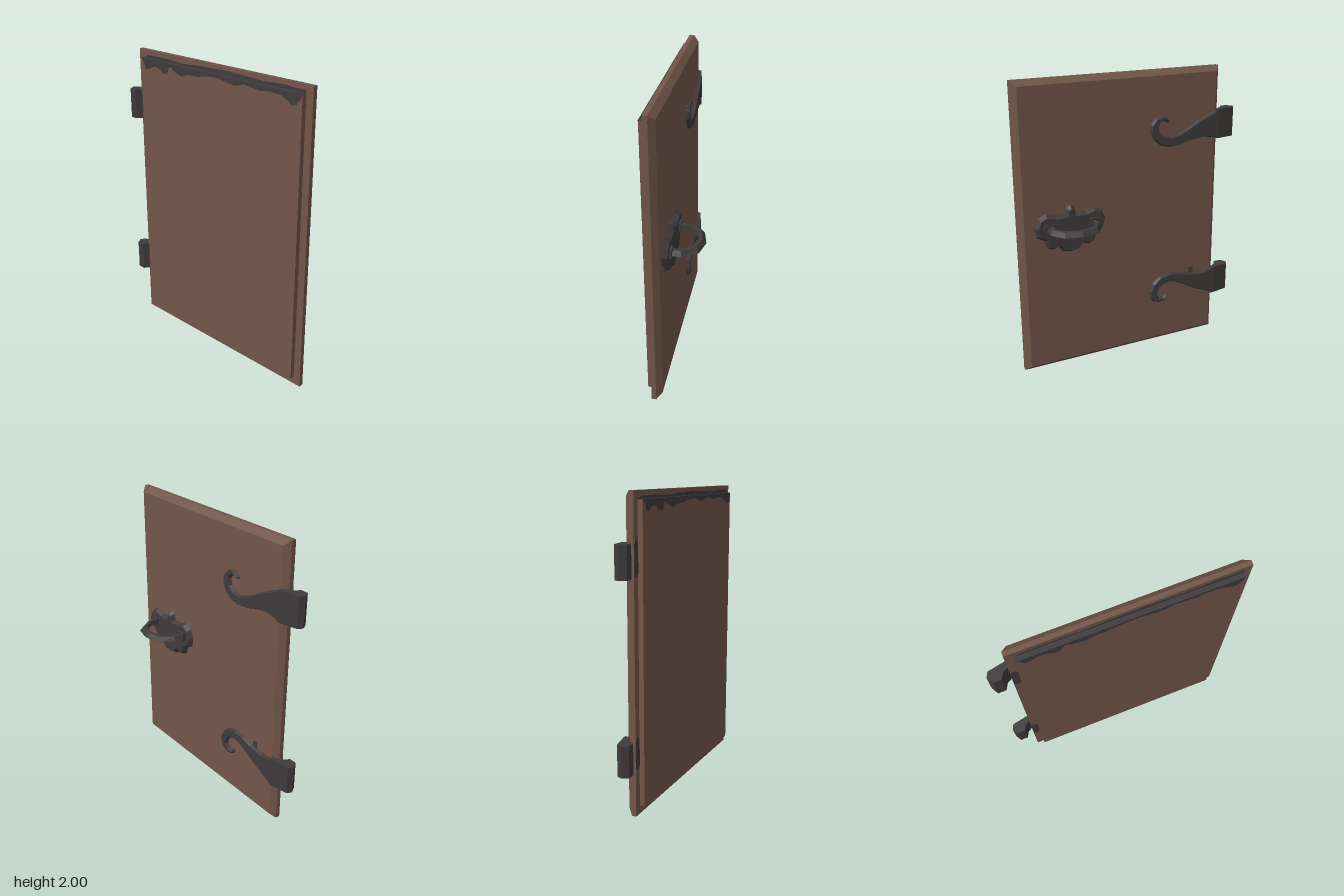
import * as THREE from 'three';

const wood = new THREE.MeshStandardMaterial({ color: 0x72564a });
wood.name = 'brown wood';
const iron = new THREE.MeshStandardMaterial({ color: 0x403b3c });
iron.name = 'dark iron';

function add(parent, name, geometry, material, x = 0, y = 0, z = 0) {
  const mesh = new THREE.Mesh(geometry, material);
  mesh.name = name;
  mesh.position.set(x, y, z);
  parent.add(mesh);
  return mesh;
}

const outline = (pts) => new THREE.Shape(pts.map(([x, y]) => new THREE.Vector2(x, y)));

const box = (x0, x1, y0, y1, z0, z1) =>
  new THREE.BoxGeometry(x1 - x0, y1 - y0, z1 - z0)
    .translate((x0 + x1) / 2, (y0 + y1) / 2, (z0 + z1) / 2);

// Flat casting with a chamfered rim; its outer face lies at z = back
function casting(shape, back, chamfer, thick) {
  return new THREE.ExtrudeGeometry(shape, {
    depth: 0.01, bevelEnabled: true, bevelSegments: 1, steps: 1,
    bevelThickness: thick, bevelSize: chamfer, bevelOffset: -chamfer, curveSegments: 4,
  }).translate(0, 0, back + thick);
}

const plate = (pts, z) =>
  new THREE.ExtrudeGeometry(outline(pts), { depth: 0.003, bevelEnabled: false }).translate(0, 0, z);

// Slab section whose back edges are drawn in by a bevel
function bevelledBack() {
  const g = box(-0.68, 0.81, 0, 2, 0.063, 0.1).toNonIndexed();
  const p = g.attributes.position;
  for (let i = 0; i < p.count; i++) {
    if (p.getZ(i) > 0.08) continue;
    p.setX(i, p.getX(i) > 0 ? 0.775 : -0.645);
    p.setY(i, p.getY(i) > 1 ? 1.965 : 0.035);
  }
  g.computeVertexNormals();
  return g;
}

// Curled strap and knuckle, drawn about y = 0; flip = -1 mirrors it upside down
function hinge(flip) {
  const g = new THREE.Group();
  const strap = [
    [-0.655, -0.1], [-0.56, -0.085], [-0.45, -0.097], [-0.37, -0.12], [-0.29, -0.128],
    [-0.215, -0.11], [-0.16, -0.065], [-0.135, -0.01], [-0.14, 0.04], [-0.17, 0.078],
    [-0.215, 0.093], [-0.255, 0.085], [-0.28, 0.058], [-0.272, 0.042], [-0.245, 0.056],
    [-0.215, 0.052], [-0.197, 0.025], [-0.207, -0.015], [-0.24, -0.045], [-0.29, -0.056],
    [-0.35, -0.042], [-0.42, -0.01], [-0.5, 0.035], [-0.58, 0.07], [-0.655, 0.1],
  ].map(([x, y]) => [x, y * flip]);
  add(g, 'hingeStrap', casting(outline(strap), 0.04, 0.01, 0.022), iron);

  const profile = [
    [-0.813, 0.1], [-0.787, 0.143], [-0.735, 0.143], [-0.713, 0.104],
    [-0.648, 0.066], [-0.648, 0.041], [-0.668, 0.041], [-0.796, 0.066],
  ];
  const knuckle = new THREE.ExtrudeGeometry(outline(profile), { depth: 0.205, bevelEnabled: false })
    .rotateX(Math.PI / 2).translate(0, 0.1025, 0);
  add(g, 'hingeKnuckle', knuckle, iron);

  // Iron stain on the front frame beside the knuckle
  add(g, 'hingeStain', plate([
    [-0.68, -0.09], [-0.645, -0.1], [-0.632, -0.08], [-0.632, 0.09],
    [-0.645, 0.11], [-0.665, 0.13], [-0.68, 0.1],
  ], 0.13), iron);
  return g;
}

// Faceted half-ring pull swept through a bevelled section
function pullGeometry() {
  // each row: outer x, z; ridge x, z; inner x, z (x measured from the centre)
  const half = [
    [0.182, 0.03, 0.164, 0.03, 0.14, 0.03],
    [0.182, -0.043, 0.164, -0.04, 0.14, -0.036],
    [0.12, -0.143, 0.108, -0.123, 0.088, -0.1],
  ];
  const rows = [
    ...half, [0, -0.17, 0, -0.147, 0, -0.122],
    ...half.slice().reverse().map((r) => r.map((v, i) => (i % 2 ? v : -v))),
  ];
  const rings = rows.map(([ox, oz, mx, mz, ix, iz]) => [
    [ox, 1.022, oz], [mx, 1.054, mz], [ix, 1.054, iz], [ix, 1.022, iz],
  ]);
  const pos = [];
  const quad = (a, b, c, d) => pos.push(...a, ...b, ...c, ...a, ...c, ...d);
  for (let i = 0; i < rings.length - 1; i++) {
    for (let k = 0; k < 4; k++) {
      const n = (k + 1) % 4;
      quad(rings[i][k], rings[i + 1][k], rings[i + 1][n], rings[i][n]);
    }
  }
  const g = new THREE.BufferGeometry();
  g.setAttribute('position', new THREE.Float32BufferAttribute(pos, 3));
  g.computeVertexNormals();
  return g;
}

function handle() {
  const g = new THREE.Group();
  const half = [
    [0, 1.172], [0.028, 1.15], [0.04, 1.112], [0.105, 1.112], [0.17, 1.13], [0.225, 1.105],
    [0.252, 1.04], [0.235, 0.975], [0.185, 0.945], [0.17, 0.895], [0.13, 0.873],
    [0.09, 0.888], [0.06, 0.853], [0, 0.84],
  ];
  const pts = [...half, ...half.slice(1, -1).reverse().map(([x, y]) => [-x, y])];
  add(g, 'handlePlate', casting(outline(pts), 0.03, 0.018, 0.033), iron);
  add(g, 'handlePull', pullGeometry(), iron);
  for (const s of [-1, 1]) {
    add(g, 'handleFoot', new THREE.BoxGeometry(0.066, 0.056, 0.02), iron, s * 0.161, 1.038, 0.024);
  }
  return g;
}

export function createModel() {
  const model = new THREE.Group();
  model.name = 'cabinetDoor';

  // Wooden leaf
  add(model, 'doorFrame', box(-0.68, 0.81, 0, 2, 0.1, 0.13), wood);
  add(model, 'doorBack', bevelledBack(), wood);
  add(model, 'frontPanel', box(-0.63, 0.76, 0.055, 1.948, 0.125, 0.163), wood);

  // Dark weathering along the top of the panel
  add(model, 'panelTopStain', box(-0.63, 0.76, 1.946, 1.95, 0.13, 0.164), iron);
  add(model, 'frameStain', plate([
    [-0.625, 1.948], [0.76, 1.948], [0.752, 1.972], [0.68, 1.968], [0.6, 1.975], [0.45, 1.966],
    [0.3, 1.972], [0.15, 1.977], [-0.1, 1.97], [-0.25, 1.96], [-0.4, 1.968], [-0.6, 1.966],
  ], 0.13), iron);
  add(model, 'panelDrips', plate([
    [-0.62, 1.949], [-0.6, 1.92], [-0.58, 1.88], [-0.55, 1.885], [-0.5, 1.908], [-0.46, 1.905],
    [-0.41, 1.878], [-0.37, 1.876], [-0.352, 1.918], [-0.33, 1.93], [-0.3, 1.908], [-0.23, 1.884],
    [-0.17, 1.905], [-0.08, 1.908], [0, 1.925], [0.1, 1.932], [0.2, 1.913], [0.25, 1.91],
    [0.32, 1.93], [0.45, 1.914], [0.52, 1.925], [0.6, 1.92], [0.66, 1.895], [0.69, 1.873],
    [0.715, 1.88], [0.75, 1.925], [0.755, 1.949],
  ], 0.162), iron);

  // Hinges, the lower one upside down
  for (const [name, y, flip] of [['upperHinge', 1.602, 1], ['lowerHinge', 0.405, -1]]) {
    const h = hinge(flip);
    h.name = name;
    h.position.y = y;
    model.add(h);
  }
  add(model, 'strapMark', box(-0.498, -0.462, 0.49, 0.54, 0.06, 0.064), iron);

  // Pull handle on the back
  const pull = handle();
  pull.name = 'handle';
  pull.position.x = 0.457;
  model.add(pull);
  return model;
}
